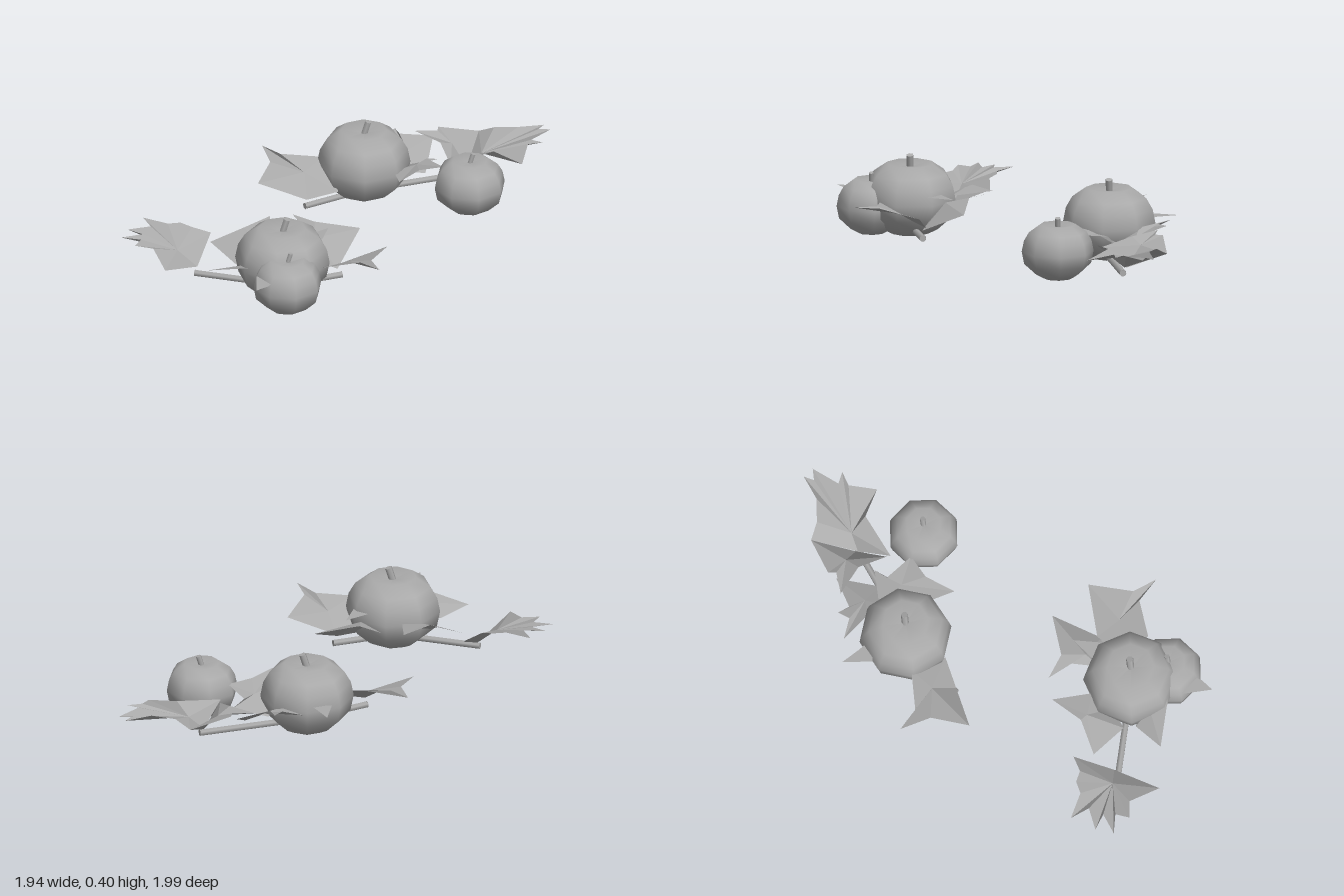
import * as THREE from 'three';

const grey = new THREE.MeshStandardMaterial({ color: 0xaaaaaa, side: THREE.DoubleSide });
grey.name = 'plainGrey';

// Eight-sided smooth gourd: [radius, height] as fractions of full size
const PROFILE = [[0, 0], [0.4, 0], [0.6, 0.07], [0.93, 0.27], [1, 0.5], [0.94, 0.7], [0.8, 0.86], [0.5, 1], [0, 0.95]];

function rod(name, from, to, radius, sides) {
  const a = new THREE.Vector3(...from), b = new THREE.Vector3(...to);
  const mesh = new THREE.Mesh(new THREE.TubeGeometry(new THREE.LineCurve3(a, b), 1, radius, sides), grey);
  mesh.name = name;
  // End caps
  const dir = b.clone().sub(a).normalize();
  for (const [p, s] of [[a, -1], [b, 1]]) {
    const cap = new THREE.Mesh(new THREE.CircleGeometry(radius, sides), grey);
    cap.name = name + 'End';
    cap.position.copy(p);
    cap.quaternion.setFromUnitVectors(new THREE.Vector3(0, 0, 1), dir.clone().multiplyScalar(s));
    mesh.add(cap);
  }
  return mesh;
}

function pumpkin(x, z, radius, height, turn) {
  const group = new THREE.Group();
  group.name = 'pumpkin';
  const points = PROFILE.map(([r, h]) => new THREE.Vector2(r * radius, h * height));
  const body = new THREE.Mesh(new THREE.LatheGeometry(points, 8, turn), grey);
  body.name = 'pumpkinBody';
  const s = radius / 0.235;
  const stem = rod('pumpkinStem', [0, height * 0.92, 0], [0.022 * s, height + 0.045 * s, -0.005], 0.018 * s, 6);
  group.add(body, stem);
  group.position.set(x, 0, z);
  return group;
}

// Folded leaf: a fan of flat facets from a hub to a lobed outline, points as [x, z, y]
function leaf(hub, outline) {
  const pos = [];
  outline.forEach((p, i) => {
    const q = outline[(i + 1) % outline.length];
    for (const [x, z, y] of [hub, q, p]) pos.push(x, y, z);
  });
  const geo = new THREE.BufferGeometry();
  geo.setAttribute('position', new THREE.Float32BufferAttribute(pos, 3));
  geo.computeVertexNormals();
  // Keep the facets facing up
  const n = geo.attributes.normal, a = geo.attributes.position;
  for (let i = 0; i < n.count; i += 3) {
    if (n.getY(i) >= 0) continue;
    const t = [a.getX(i + 1), a.getY(i + 1), a.getZ(i + 1)];
    a.setXYZ(i + 1, a.getX(i + 2), a.getY(i + 2), a.getZ(i + 2));
    a.setXYZ(i + 2, ...t);
  }
  geo.computeVertexNormals();
  const mesh = new THREE.Mesh(geo, grey);
  mesh.name = 'leaf';
  return mesh;
}

export function createModel() {
  const model = new THREE.Group();
  model.name = 'pumpkinPatch';

  model.add(
    pumpkin(-0.155, 0.59, 0.235, 0.35, 0),
    pumpkin(0.1, -0.515, 0.23, 0.35, 0.16),
    pumpkin(-0.105, 0.775, 0.172, 0.27, Math.PI / 8),
    pumpkin(0.64, -0.415, 0.178, 0.27, Math.PI / 8),
  );

  // Vines lying under the large pumpkins
  const vines = [
    [[-0.6, 0.52], [-0.155, 0.59], [0.12, 0.44]],
    [[-0.16, -0.27], [0.1, -0.48], [0.6, -0.74]],
  ];
  for (const path of vines) {
    for (let i = 0; i < 2; i++) {
      const [a, b] = [path[i], path[i + 1]];
      model.add(rod('vine', [a[0], 0.035, a[1]], [b[0], 0.035, b[1]], 0.017, 6));
    }
  }

  // Leaves around the front pair
  model.add(
    leaf([-0.69, 0.49, 0.14], [[-0.55, 0.3, 0.15], [-0.64, 0.33, 0.19], [-0.7, 0.31, 0.2], [-0.76, 0.33, 0.2],
      [-0.89, 0.28, 0.2], [-0.84, 0.37, 0.2], [-0.95, 0.4, 0.19], [-0.87, 0.44, 0.19], [-0.97, 0.49, 0.19],
      [-0.87, 0.5, 0.19], [-0.89, 0.57, 0.19], [-0.8, 0.57, 0.18], [-0.72, 0.72, 0.14], [-0.59, 0.5, 0.06]]),
    leaf([-0.35, 0.37, 0.2], [[-0.27, 0.2, 0.21], [-0.38, 0.34, 0.21], [-0.54, 0.4, 0.15],
      [-0.39, 0.55, 0.11], [-0.28, 0.5, 0.09], [-0.23, 0.4, 0.18]]),
    leaf([-0.03, 0.37, 0.19], [[-0.16, 0.185, 0.22], [-0.04, 0.25, 0.22], [0.18, 0.21, 0.18],
      [0.1, 0.45, 0.07], [-0.07, 0.44, 0.12], [-0.08, 0.3, 0.2]]),
    leaf([0.16, 0.54, 0.16], [[0.34, 0.39, 0.18], [0.1, 0.43, 0.085], [0, 0.55, 0.1], [0.06, 0.68, 0.19],
      [0.24, 0.64, 0.21], [0.345, 0.725, 0.22], [0.29, 0.61, 0.21]]),
    leaf([-0.32, 0.68, 0.18], [[-0.51, 0.73, 0.16], [-0.39, 0.61, 0.13], [-0.25, 0.65, 0.12],
      [-0.2, 0.78, 0.2], [-0.28, 0.77, 0.21]]),
    leaf([-0.2, 0.9, 0.2], [[-0.23, 0.99, 0.2], [-0.25, 0.84, 0.2], [-0.12, 0.82, 0.2], [-0.18, 0.94, 0.2]]),
    leaf([0, 0.4, 0.22], [[0.035, 0.31, 0.22], [-0.08, 0.42, 0.22], [0.02, 0.45, 0.22]]),
  );

  // Leaves around the back pair
  model.add(
    leaf([-0.18, -0.39, 0.16], [[-0.41, -0.55, 0.21], [-0.31, -0.475, 0.21], [-0.1, -0.49, 0.2],
      [0, -0.32, 0.1], [-0.15, -0.27, 0.07], [-0.385, -0.21, 0.175], [-0.35, -0.4, 0.2]]),
    leaf([0, -0.72, 0.2], [[-0.05, -0.83, 0.2], [-0.05, -0.68, 0.2], [0.07, -0.68, 0.2], [0.01, -0.75, 0.2]]),
    leaf([0.29, -0.71, 0.15], [[0.07, -0.82, 0.2], [0.18, -0.79, 0.2], [0.21, -0.845, 0.2], [0.24, -0.79, 0.2],
      [0.4, -0.85, 0.17], [0.39, -0.635, 0.07], [0.27, -0.58, 0.1], [0.2, -0.7, 0.18]]),
    leaf([0.36, -0.53, 0.17], [[0.27, -0.64, 0.1], [0.45, -0.66, 0.14], [0.4, -0.6, 0.17], [0.5, -0.48, 0.19],
      [0.39, -0.41, 0.2], [0.31, -0.27, 0.2], [0.26, -0.42, 0.18]]),
    leaf([0.65, -0.77, 0.13], [[0.61, -0.97, 0.15], [0.69, -0.94, 0.19], [0.81, -0.94, 0.2], [0.93, -1, 0.19],
      [0.91, -0.95, 0.19], [0.97, -0.955, 0.19], [0.89, -0.83, 0.19], [0.95, -0.81, 0.19], [0.88, -0.78, 0.19],
      [0.87, -0.64, 0.15], [0.72, -0.7, 0.18], [0.52, -0.58, 0.15], [0.58, -0.74, 0.06]]),
    leaf([0.5, -0.8, 0.16], [[0.31, -0.83, 0.2], [0.42, -0.85, 0.2], [0.42, -0.89, 0.2], [0.61, -0.97, 0.15],
      [0.58, -0.75, 0.06], [0.52, -0.6, 0.14], [0.45, -0.74, 0.19]]),
  );
  return model;
}
